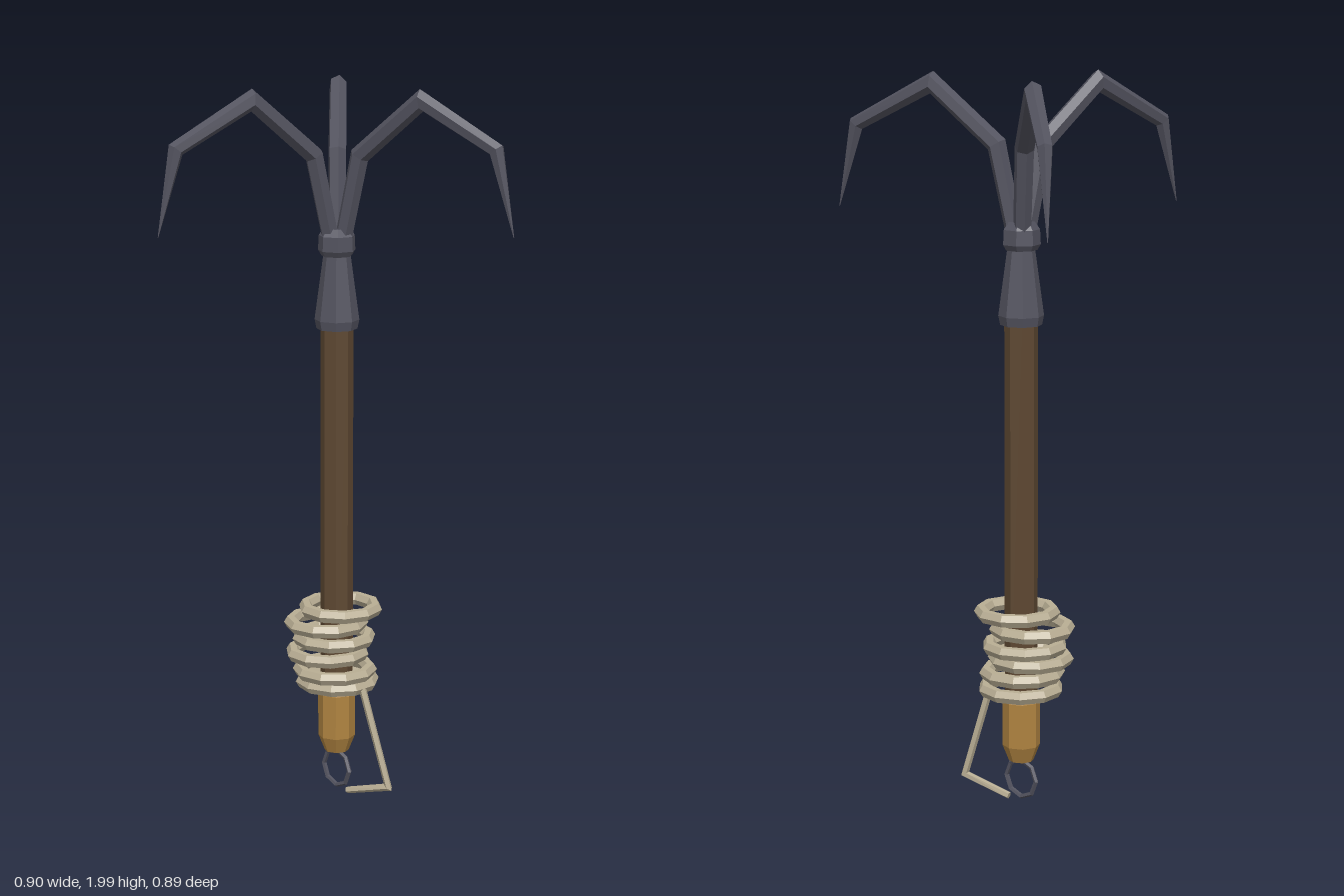
import * as THREE from 'three';

const flat = (name, color) => {
  const m = new THREE.MeshStandardMaterial({ color, flatShading: true });
  m.name = name;
  return m;
};

// Mitred faceted bar along a path; side is the direction across the bends
function bar(points, radii, sides, twist = 0) {
  const path = points.map(p => new THREE.Vector3(...p));
  const side = new THREE.Vector3(0, 0, 1);
  const rings = path.map((p, i) => {
    const before = p.clone().sub(path[Math.max(i - 1, 0)]).normalize();
    const after = path[Math.min(i + 1, path.length - 1)].clone().sub(p).normalize();
    const t = before.clone().add(after).normalize();
    const n = side.clone().cross(t).normalize();
    const u = t.clone().cross(n);
    const mitre = 1 / t.dot(i ? before : after);
    return Array.from({ length: sides }, (_, j) => {
      const a = twist + j / sides * Math.PI * 2;
      return p.clone()
        .addScaledVector(n, Math.cos(a) * radii[i] * mitre)
        .addScaledVector(u, Math.sin(a) * radii[i]);
    });
  });
  const tris = [];
  const last = rings.length - 1;
  for (let j = 0; j < sides; j++) {
    const k = (j + 1) % sides;
    for (let i = 0; i < last; i++) {
      const a = rings[i][j], b = rings[i][k], c = rings[i + 1][k], d = rings[i + 1][j];
      tris.push(a, b, c, a, c, d);
    }
    tris.push(path[0], rings[0][k], rings[0][j], path[last], rings[last][j], rings[last][k]);
  }
  const g = new THREE.BufferGeometry().setFromPoints(tris);
  g.computeVertexNormals();
  return g;
}

const lathe = (profile, sides) =>
  new THREE.LatheGeometry(profile.map(p => new THREE.Vector2(...p)), sides);

export function createModel() {
  const metal = flat('dark iron', 0x53535f);
  const wood = flat('dark wood', 0x5e4832);
  const brass = flat('golden wood', 0xb08441);
  const rope = flat('rope', 0xb9ae94);

  const model = new THREE.Group();
  model.name = 'grapplingHook';
  // Everything on the shaft axis
  const pole = new THREE.Group();
  pole.name = 'pole';
  pole.position.set(-0.06, 0, -0.08);
  model.add(pole);
  const add = (parent, name, geometry, material) => {
    const m = new THREE.Mesh(geometry, material);
    m.name = name;
    parent.add(m);
    return m;
  };

  // Shaft and grip
  const shaft = add(pole, 'shaft', new THREE.CylinderGeometry(0.045, 0.045, 1.08, 8), wood);
  shaft.position.y = 0.82;
  add(pole, 'grip', lathe([[0, 0.13], [0.034, 0.13], [0.052, 0.175], [0.052, 0.3], [0.045, 0.315], [0, 0.315]], 8), brass);

  // Iron socket and collar
  add(pole, 'socket', lathe([[0, 1.34], [0.056, 1.34], [0.061, 1.365], [0.036, 1.55], [0, 1.55]], 8), metal);
  add(pole, 'collar', lathe([[0, 1.54], [0.043, 1.54], [0.052, 1.555], [0.05, 1.595], [0.036, 1.615], [0, 1.615]], 7), metal);

  // Three bent prongs
  const prong = bar(
    [[0.016, 1.57, 0], [0.07, 1.815, 0], [0.257, 1.972, 0], [0.48, 1.855, 0], [0.534, 1.63, 0]],
    [0.024, 0.026, 0.025, 0.021, 0.001], 6, 0.15);
  [-137.2, -17.2, 102.8].forEach((deg, i) => {
    add(pole, 'prong' + (i + 1), prong, metal).rotation.y = -THREE.MathUtils.degToRad(deg);
  });

  // Ring under the grip
  const ring = add(pole, 'ring', new THREE.TorusGeometry(0.053, 0.007, 5, 8), metal);
  ring.position.y = 0.077;

  // Loose rope coils: x, y, z of each centre
  const coil = new THREE.TorusGeometry(0.099, 0.019, 6, 10).rotateX(Math.PI / 2);
  [[-0.05, 0.55, -0.085], [-0.082, 0.505, -0.06], [-0.074, 0.46, -0.082],
    [-0.077, 0.42, -0.06], [-0.05, 0.375, -0.064], [-0.06, 0.337, -0.082]].forEach((p, i) => {
    const c = add(model, 'ropeCoil' + (i + 1), coil, rope);
    c.position.set(...p);
    c.rotation.y = i * 0.2;
  });

  // Rope end running down to the ring
  add(model, 'ropeTail', bar(
    [[0.045, 0.335, -0.082], [0.118, 0.058, -0.113], [-0.02, 0.018, -0.085]],
    [0.011, 0.011, 0.01], 5), rope);

  return model;
}
